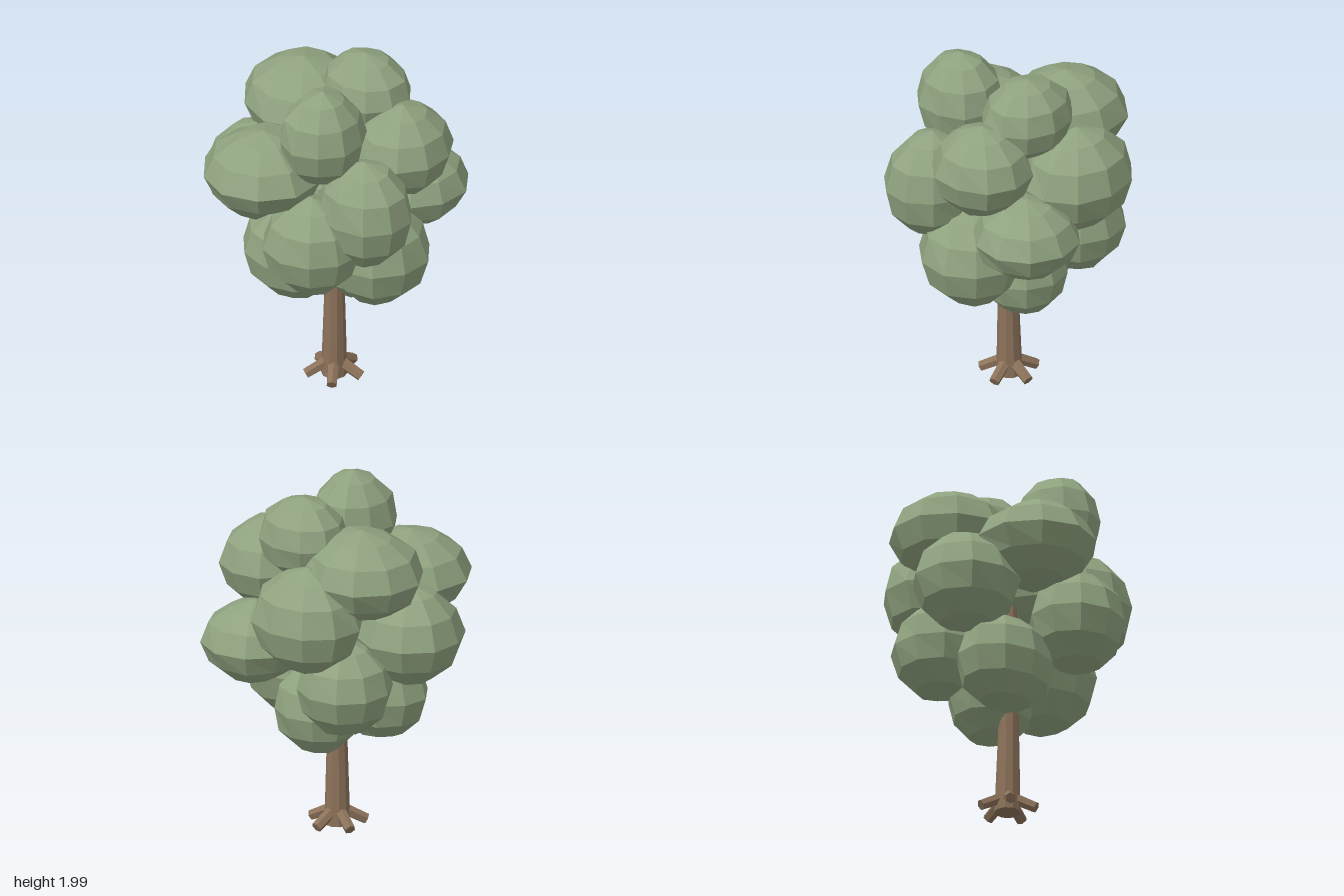
import * as THREE from 'three';

const leafGreen = new THREE.MeshStandardMaterial({ color: 0x8fa27f });
leafGreen.name = 'leafGreen';
const barkBrown = new THREE.MeshStandardMaterial({ color: 0x8c725a });
barkBrown.name = 'barkBrown';

// Leaf clumps: centre x, y, z, radii x, y, z, and how pointed the waist is
const CLUMPS = [
  [-0.235, 1.7, 0.17, 0.25, 0.28, 0.235, 0],
  [0.23, 1.75, 0.08, 0.23, 0.23, 0.27, 0],
  [0.195, 1.52, 0.38, 0.29, 0.26, 0.27, 0.04],
  [-0.175, 1.29, 0.42, 0.25, 0.31, 0.28, 0],
  [0.43, 1.15, 0.26, 0.3, 0.23, 0.3, 0.08],
  [0.045, 0.9, 0.32, 0.3, 0.3, 0.3, 0.04],
  [-0.36, 1.08, 0.2, 0.265, 0.29, 0.28, 0.04],
  [-0.385, 1.44, -0.13, 0.345, 0.24, 0.34, 0.12],
  [0.405, 1.37, -0.13, 0.285, 0.3, 0.33, 0.04],
  [0.13, 1.61, -0.28, 0.335, 0.25, 0.35, 0.06],
  [-0.12, 1.22, -0.4, 0.3, 0.28, 0.3, 0.06],
  [0.25, 0.97, -0.26, 0.265, 0.27, 0.27, 0],
  [0.16, 0.74, 0.04, 0.235, 0.26, 0.255, 0],
  [-0.14, 0.81, -0.13, 0.24, 0.27, 0.3, 0],
];

function flat(geometry) {
  const g = geometry.toNonIndexed();
  g.computeVertexNormals();
  return g;
}

// Low-poly ball with a gentle, repeatable unevenness and small peaks at the poles
function clumpGeometry(rx, ry, rz, waist, seed) {
  const g = new THREE.SphereGeometry(1, 10, 6);
  const p = g.attributes.position;
  const v = new THREE.Vector3();
  for (let i = 0; i < p.count; i++) {
    v.fromBufferAttribute(p, i);
    const bump = 1.005 + 0.03 * Math.sin(5 * v.x + 3 * v.y + seed * 2.1)
      * Math.cos(4 * v.z - 2 * v.y + seed * 1.3);
    const side = bump * (1 - waist * Math.abs(v.y));
    const rise = Math.abs(v.y) > 0.99 ? 1.04 : bump * 0.99;
    p.setXYZ(i, v.x * rx * side, v.y * ry * rise, v.z * rz * side);
  }
  return flat(g);
}

// Tapered cylinder between two points
function limb(name, from, to, r0, r1, sides) {
  const dir = to.clone().sub(from);
  const g = new THREE.CylinderGeometry(r1, r0, dir.length(), sides);
  const mesh = new THREE.Mesh(flat(g), barkBrown);
  mesh.name = name;
  mesh.position.copy(from).add(to).multiplyScalar(0.5);
  mesh.quaternion.setFromUnitVectors(new THREE.Vector3(0, 1, 0), dir.normalize());
  return mesh;
}

export function createModel() {
  const tree = new THREE.Group();
  tree.name = 'tree';

  // Crown
  const crown = new THREE.Group();
  crown.name = 'crown';
  CLUMPS.forEach(([x, y, z, rx, ry, rz, waist], i) => {
    const clump = new THREE.Mesh(clumpGeometry(rx, ry, rz, waist, i), leafGreen);
    clump.name = 'leafClump' + (i + 1);
    clump.position.set(x, y, z);
    crown.add(clump);
  });
  tree.add(crown);

  // Trunk
  const base = new THREE.Vector3(0.02, 0.015, 0.032);
  tree.add(limb('trunk', base, new THREE.Vector3(0.012, 1.25, 0.045), 0.072, 0.036, 10));

  // Roots spread evenly around the foot
  for (let i = 0; i < 5; i++) {
    const a = (i / 5) * Math.PI * 2;
    const at = (r, y) => new THREE.Vector3(base.x + r * Math.cos(a), y, base.z + r * Math.sin(a));
    tree.add(limb('root' + (i + 1), at(0.03, 0.1), at(0.16, 0.03), 0.034, 0.031, 6));
  }
  return tree;
}
